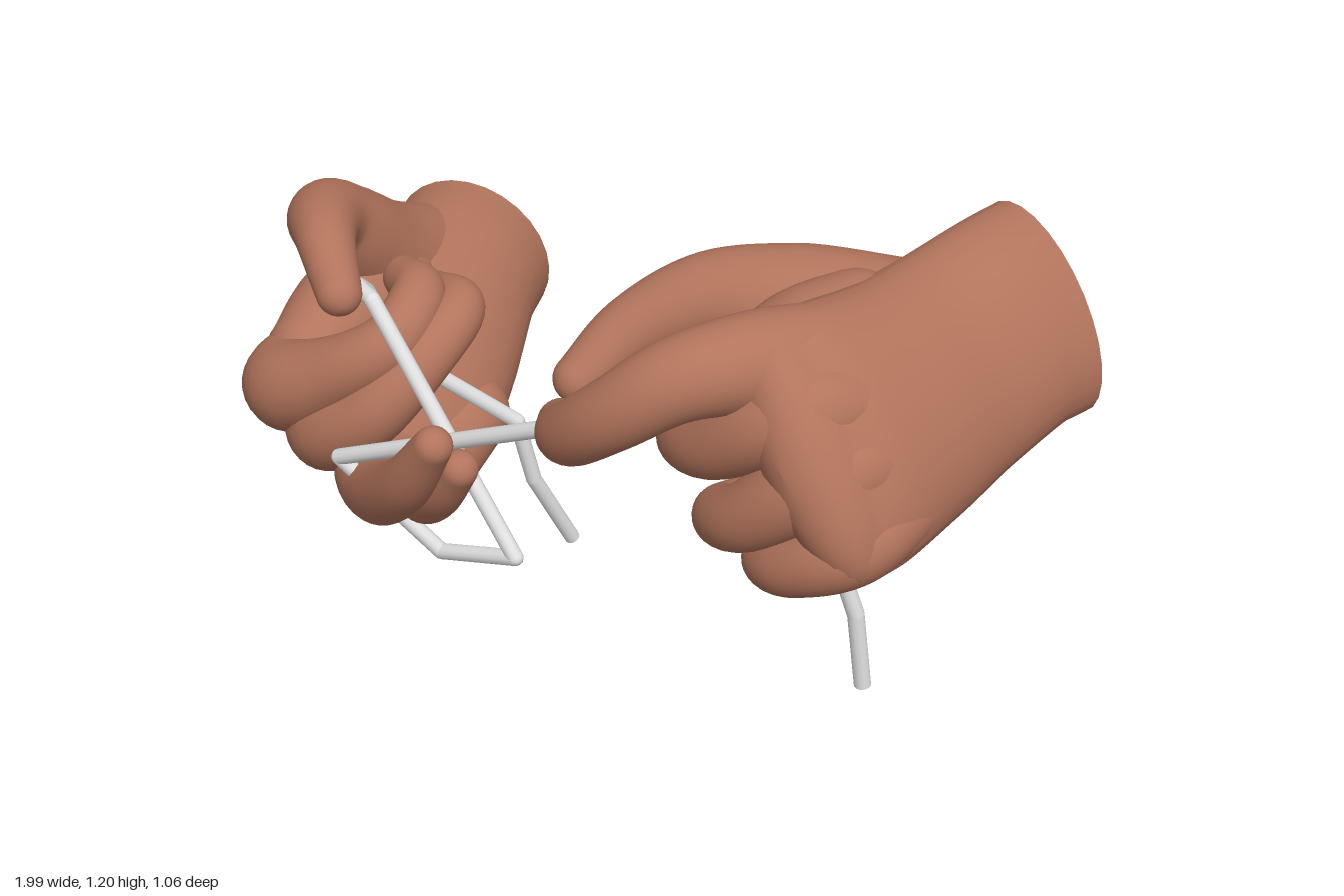
import * as THREE from 'three';

const skin = new THREE.MeshStandardMaterial({ color: 0xb2745c });
skin.name = 'skin';
const cord = new THREE.MeshStandardMaterial({ color: 0xe2e2e2 });
cord.name = 'cord';

// Smooth loft through sections [x, y, z, half width, half thickness], rounded at its ends.
function loft(sections, wide, flatStart) {
  const path = new THREE.CatmullRomCurve3(
    sections.map(s => new THREE.Vector3(s[0], s[1], s[2])), false, 'catmullrom', 0.5);
  const size = new THREE.CatmullRomCurve3(
    sections.map(s => new THREE.Vector3(s[3], s[4] ?? s[3], 0)), false, 'catmullrom', 0.5);
  const sides = 28, steps = sections.length * 8, capSteps = 7;

  // Each ring: position along the path, roundness offset and scale
  const rings = [];
  if (!flatStart) {
    for (let i = 0; i < capSteps; i++) {
      const a = (1 - i / capSteps) * Math.PI / 2;
      rings.push([0, -Math.sin(a), Math.cos(a)]);
    }
  }
  for (let i = 0; i <= steps; i++) rings.push([i / steps, 0, 1]);
  for (let i = 1; i <= capSteps; i++) {
    const a = (i / capSteps) * Math.PI / 2;
    rings.push([1, Math.sin(a), Math.cos(a)]);
  }

  const pos = [], idx = [];
  for (const [t, push, scale] of rings) {
    const tan = path.getTangent(t);
    const c = path.getPoint(t);
    const s = size.getPoint(t);
    const u = wide.clone().addScaledVector(tan, -wide.dot(tan)).normalize();
    const v = tan.clone().cross(u);
    c.addScaledVector(tan, push * Math.min(s.x, s.y));
    for (let j = 0; j < sides; j++) {
      const a = j / sides * Math.PI * 2;
      const p = c.clone()
        .addScaledVector(u, Math.cos(a) * s.x * Math.max(scale, 0.001))
        .addScaledVector(v, Math.sin(a) * s.y * Math.max(scale, 0.001));
      pos.push(p.x, p.y, p.z);
    }
  }
  for (let i = 0; i < rings.length - 1; i++) {
    for (let j = 0; j < sides; j++) {
      const a = i * sides + j, b = i * sides + (j + 1) % sides;
      idx.push(a, b, a + sides, b, b + sides, a + sides);
    }
  }
  // Flat cut end with its own vertices, so the rim stays sharp
  if (flatStart) {
    const base = pos.length / 3;
    for (let j = 0; j < sides * 3; j++) pos.push(pos[j]);
    pos.push(...sections[0].slice(0, 3));
    for (let j = 0; j < sides; j++) idx.push(base + sides, base + (j + 1) % sides, base + j);
  }
  const g = new THREE.BufferGeometry();
  g.setAttribute('position', new THREE.Float32BufferAttribute(pos, 3));
  g.setIndex(idx);
  g.computeVertexNormals();
  return g;
}

function hand(name, wide, parts) {
  const group = new THREE.Group();
  group.name = name;
  for (const [part, sections] of Object.entries(parts)) {
    const mesh = new THREE.Mesh(loft(sections, wide, part === 'palm'), skin);
    mesh.name = part;
    group.add(mesh);
  }
  return group;
}

// Cord of straight lengths with round joints
function string(name, points, radius = 0.018) {
  const group = new THREE.Group();
  group.name = name;
  const pts = points.map(p => new THREE.Vector3(...p));
  pts.forEach((p, i) => {
    if (i > 0 && i < pts.length - 1) {
      const joint = new THREE.Mesh(new THREE.SphereGeometry(radius, 12, 8), cord);
      joint.name = 'cordBend';
      joint.position.copy(p);
      group.add(joint);
    }
    if (i === pts.length - 1) return;
    const d = pts[i + 1].clone().sub(p);
    const length = new THREE.Mesh(new THREE.CylinderGeometry(radius, radius, d.length(), 12), cord);
    length.name = 'cordLength';
    length.position.copy(p).addScaledVector(d, 0.5);
    length.quaternion.setFromUnitVectors(new THREE.Vector3(0, 1, 0), d.normalize());
    group.add(length);
  });
  return group;
}

export function createModel() {
  const model = new THREE.Group();
  model.name = 'handsHoldingString';

  // Left hand: palm turned down and inwards, index and thumb pinching.
  // Every finger starts inside the palm, so its knuckle flows out of it.
  model.add(hand('leftHand', new THREE.Vector3(0.56, -0.83, 0), {
    palm: [
      [0.765, 0.975, -0.525, 0.234, 0.133], [0.762, 0.972, -0.42, 0.232, 0.135],
      [0.76, 0.945, -0.25, 0.24, 0.145], [0.775, 0.935, -0.08, 0.255, 0.15],
      [0.795, 0.945, 0.1, 0.275, 0.135], [0.81, 0.955, 0.2, 0.265, 0.1]],
    thumb: [
      [0.73, 0.99, -0.38, 0.1], [0.62, 1.0, -0.23, 0.13], [0.47, 1.02, -0.1, 0.13],
      [0.34, 1.03, 0.01, 0.095], [0.25, 0.97, 0.14, 0.07], [0.22, 0.89, 0.26, 0.052]],
    thumbWeb: [
      [0.62, 1.04, -0.12, 0.11], [0.6, 1.04, 0.0, 0.11], [0.62, 1.07, 0.12, 0.09]],
    indexFinger: [
      [0.71, 1.06, -0.02, 0.1], [0.66, 1.1, 0.19, 0.1], [0.59, 1.09, 0.34, 0.085],
      [0.49, 1.0, 0.42, 0.074], [0.37, 0.9, 0.42, 0.066], [0.28, 0.855, 0.36, 0.05]],
    middleFinger: [
      [0.79, 0.98, -0.02, 0.1], [0.76, 1.03, 0.19, 0.095], [0.61, 0.92, 0.255, 0.075],
      [0.49, 0.86, 0.21, 0.064], [0.51, 0.83, 0.1, 0.056], [0.59, 0.83, 0.05, 0.05]],
    ringFinger: [
      [0.85, 0.9, -0.02, 0.09], [0.84, 0.92, 0.18, 0.092], [0.71, 0.8, 0.26, 0.072],
      [0.6, 0.73, 0.22, 0.062], [0.61, 0.72, 0.11, 0.055], [0.69, 0.75, 0.06, 0.048]],
    littleFinger: [
      [0.89, 0.82, -0.02, 0.08], [0.905, 0.79, 0.17, 0.083], [0.81, 0.725, 0.24, 0.066],
      [0.72, 0.685, 0.21, 0.056], [0.71, 0.685, 0.11, 0.05], [0.76, 0.72, 0.06, 0.045]],
  }));

  // Right hand: palm turned up, thumb arched over two curled fingers
  model.add(hand('rightHand', new THREE.Vector3(0.69, -0.64, -0.33), {
    palm: [
      [-0.835, 0.5, -0.375, 0.2, 0.175], [-0.765, 0.5, -0.26, 0.205, 0.175],
      [-0.675, 0.475, -0.09, 0.245, 0.175], [-0.6, 0.45, 0.07, 0.27, 0.155],
      [-0.535, 0.435, 0.24, 0.25, 0.11]],
    thumb: [
      [-0.82, 0.53, -0.26, 0.13], [-0.78, 0.62, -0.06, 0.14], [-0.73, 0.76, 0.08, 0.115],
      [-0.68, 0.86, 0.18, 0.09], [-0.56, 0.9, 0.28, 0.066], [-0.42, 0.855, 0.36, 0.05]],
    thumbWeb: [
      [-0.72, 0.6, 0.0, 0.13], [-0.69, 0.6, 0.14, 0.12], [-0.66, 0.56, 0.26, 0.1]],
    indexFinger: [
      [-0.67, 0.53, 0.1, 0.12], [-0.64, 0.52, 0.335, 0.11], [-0.48, 0.62, 0.33, 0.08],
      [-0.38, 0.71, 0.26, 0.066], [-0.41, 0.77, 0.15, 0.06], [-0.5, 0.76, 0.11, 0.05]],
    middleFinger: [
      [-0.57, 0.43, 0.08, 0.1], [-0.54, 0.44, 0.31, 0.1], [-0.39, 0.55, 0.31, 0.078],
      [-0.33, 0.67, 0.21, 0.066], [-0.36, 0.73, 0.08, 0.06], [-0.47, 0.71, 0.05, 0.05]],
    ringFinger: [
      [-0.52, 0.37, 0.02, 0.1], [-0.45, 0.365, 0.24, 0.1], [-0.28, 0.425, 0.38, 0.074],
      [-0.1, 0.57, 0.46, 0.06], [0.02, 0.73, 0.48, 0.042]],
    littleFinger: [
      [-0.47, 0.36, -0.03, 0.1], [-0.39, 0.33, 0.14, 0.092], [-0.25, 0.39, 0.28, 0.068],
      [-0.12, 0.49, 0.35, 0.054], [-0.03, 0.6, 0.37, 0.042]],
  }));

  // One string runs from the left fist, loops at the right hand and hangs below both
  model.add(string('string', [
    [0.83, 0.34, 0.04], [0.82, 0.52, 0.06], [0.78, 0.7, 0.1], [0.66, 0.82, 0.12],
    [0.53, 0.87, 0.17], [0.4, 0.87, 0.27], [0.27, 0.83, 0.325], [-0.37, 0.49, 0.42],
    [-0.19, 0.27, 0.29], [0.02, 0.345, 0.26], [-0.37, 0.84, 0.31], [-0.46, 0.84, 0.29],
    [-0.5, 0.77, 0.22], [-0.45, 0.6, 0.16], [-0.33, 0.39, -0.06], [-0.32, 0.22, -0.1],
    [-0.31, 0.01, -0.21]]));
  return model;
}
